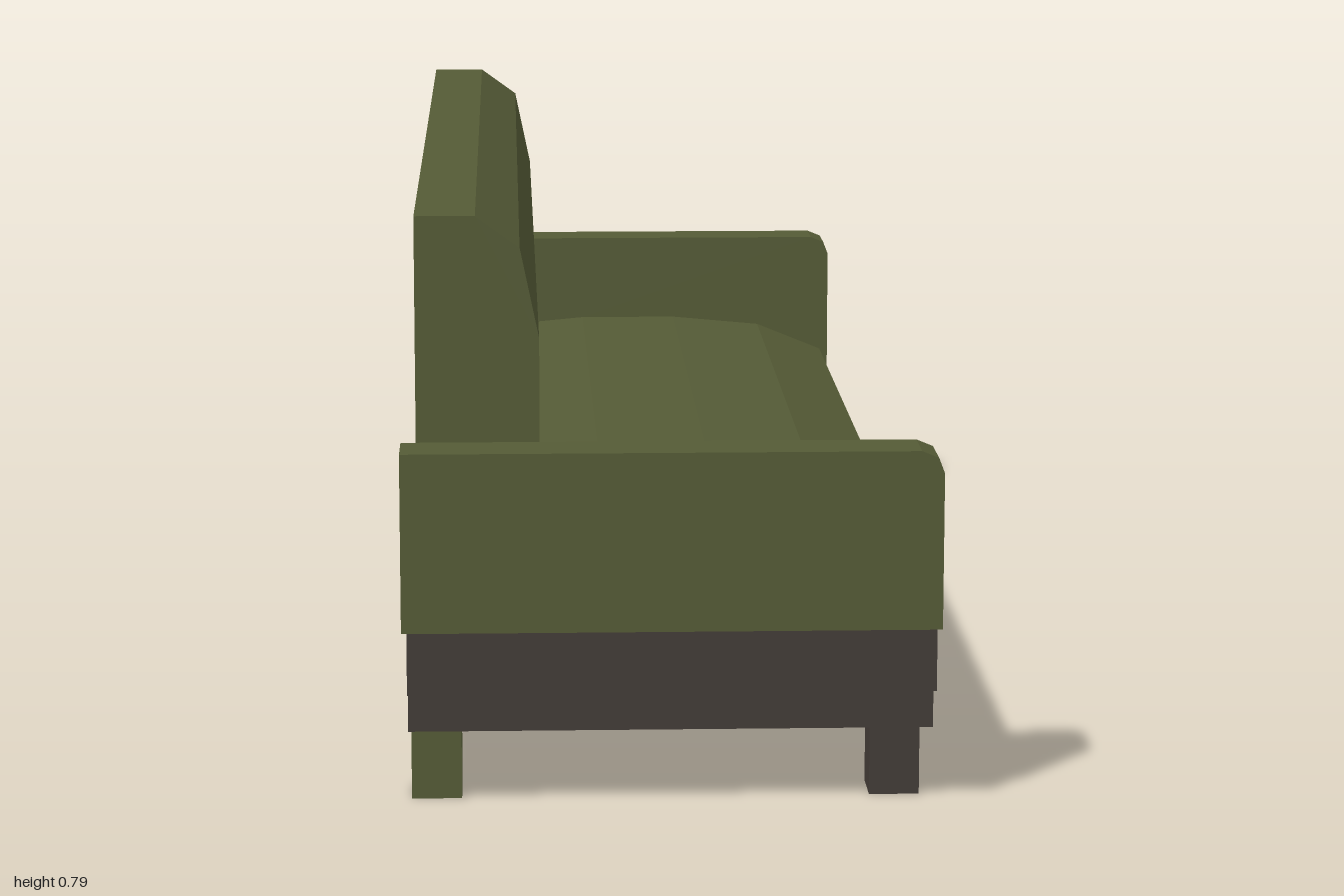
import * as THREE from 'three';

const fabric = new THREE.MeshStandardMaterial({ color: 0x555b36 });
fabric.name = 'olive fabric';
const wood = new THREE.MeshStandardMaterial({ color: 0x433c37 });
wood.name = 'dark wood';

export function createModel() {
  const sofa = new THREE.Group();
  sofa.name = 'sofa';

  function add(name, geometry, material) {
    const mesh = new THREE.Mesh(geometry, material);
    mesh.name = name;
    sofa.add(mesh);
  }

  // Side outline in x and y, swept along z from z0 to z1
  function sweep(name, points, z0, z1, material) {
    const shape = new THREE.Shape(points.map(([x, y]) => new THREE.Vector2(x, y)));
    const geometry = new THREE.ExtrudeGeometry(shape, { depth: z1 - z0, bevelEnabled: false });
    geometry.translate(0, 0, z0);
    add(name, geometry, material);
  }

  function box(name, [x0, x1], [y0, y1], [z0, z1], material) {
    const geometry = new THREE.BoxGeometry(x1 - x0, y1 - y0, z1 - z0);
    geometry.translate((x0 + x1) / 2, (y0 + y1) / 2, (z0 + z1) / 2);
    add(name, geometry, material);
  }

  // Base platform
  box('baseFrame', [-0.348, 0.348], [0.105, 0.157], [-0.919, 0.919], wood);

  // Domed seat cushion
  sweep('seat', [
    [-0.33, 0.166], [0.341, 0.166], [0.341, 0.287], [0.23, 0.332],
    [0.08, 0.346], [-0.08, 0.346], [-0.23, 0.332], [-0.33, 0.29],
  ], -0.918, 0.918, fabric);

  // Backrest with a chamfered top front
  sweep('backrest', [
    [-0.335, 0.166], [-0.172, 0.166], [-0.172, 0.625],
    [-0.197, 0.745], [-0.255, 0.787], [-0.335, 0.787],
  ], -0.918, 0.918, fabric);

  const armProfile = [
    [-0.355, 0.248], [0.355, 0.248], [0.355, 0.457],
    [0.347, 0.478], [0.325, 0.487], [-0.355, 0.487],
  ];

  // Each end: armrest, two side boards and a pair of legs
  for (const side of [1, -1]) {
    const span = (a, b) => (side > 0 ? [a, b] : [-b, -a]);
    sweep('armrest', armProfile, ...span(0.921, 1), fabric);
    box('innerSideBoard', [-0.348, 0.348], [0.105, 0.248], span(0.924, 0.959), wood);
    box('outerSideBoard', [-0.348, 0.348], [0.165, 0.248], span(0.966, 1), wood);
    box('frontLeg', [0.268, 0.335], [0, 0.105], span(0.845, 0.913), wood);
    box('backLeg', [-0.345, -0.278], [0, 0.105], span(0.845, 0.913), fabric);
  }
  return sofa;
}
